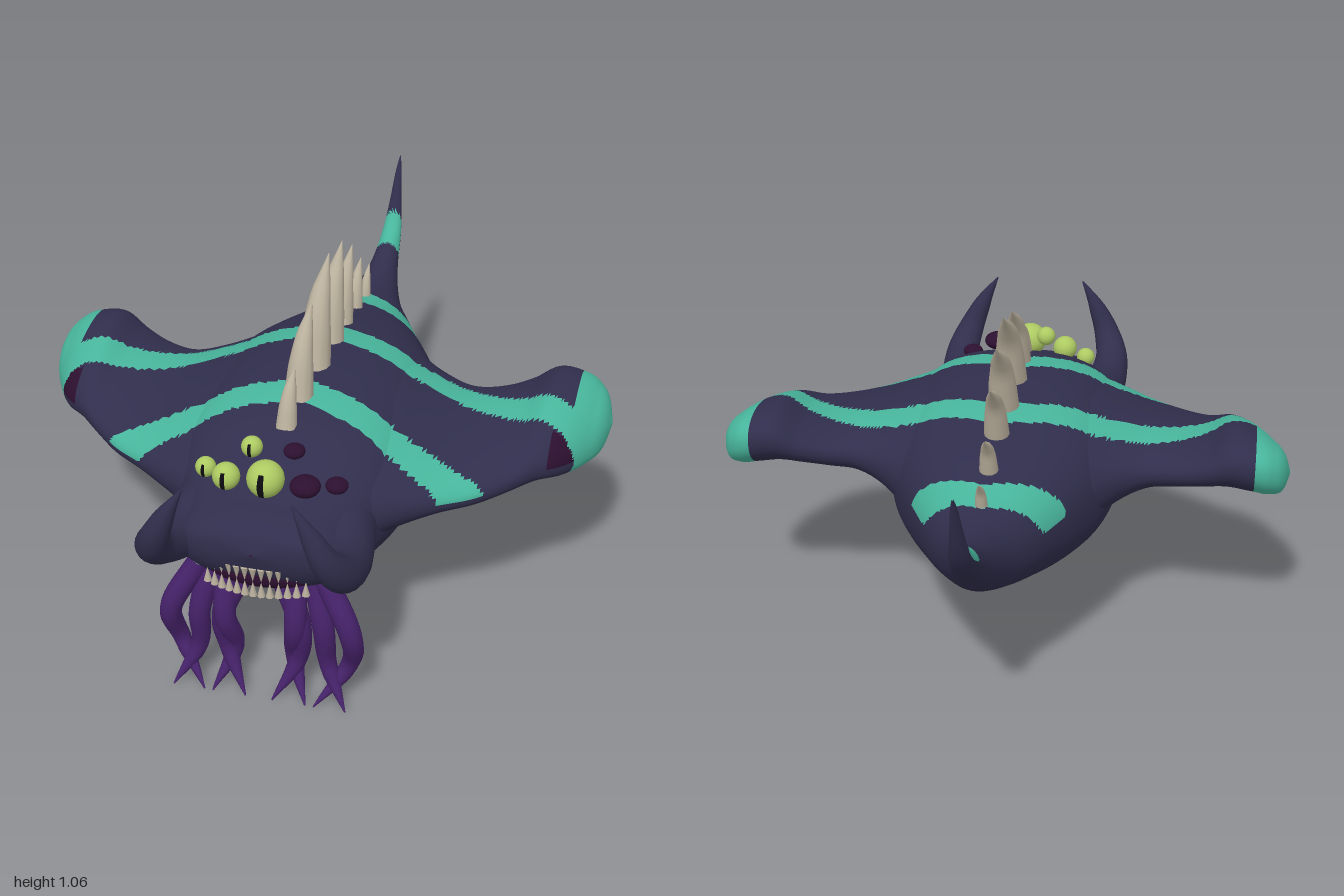
import * as THREE from 'three';

const mat = (name, color) => Object.assign(new THREE.MeshStandardMaterial({ color }), { name });

// Skin a list of rings (each an array of Vector3, anticlockwise about the travel direction).
// paint(centroid, normal) may return a material index for each triangle.
function skin(rings, paint = () => 0) {
  const n = rings[0].length, groups = [[], [], []];
  const pts = rings.flat();
  const ab = new THREE.Vector3(), ac = new THREE.Vector3();
  const tri = (a, b, c) => {
    const mid = new THREE.Vector3().add(pts[a]).add(pts[b]).add(pts[c]).divideScalar(3);
    ab.subVectors(pts[b], pts[a]);
    ac.subVectors(pts[c], pts[a]);
    groups[paint(mid, ab.cross(ac).normalize())].push(a, b, c);
  };
  for (let i = 0; i + 1 < rings.length; i++) {
    for (let j = 0; j < n; j++) {
      const a = i * n + j, b = i * n + (j + 1) % n;
      tri(a, b, a + n);
      tri(b, b + n, a + n);
    }
  }
  const g = new THREE.BufferGeometry().setFromPoints(pts);
  g.setIndex(groups.flat());
  let start = 0;
  groups.forEach((list, k) => {
    if (list.length) g.addGroup(start, list.length, k);
    start += list.length;
  });
  g.computeVertexNormals();
  return g;
}

// Smooth interpolation through rows of [position, ...values]
function stations(rows) {
  const size = rows[0].length - 1;
  const it = new THREE.CubicInterpolant(rows.map(r => r[0]), rows.flatMap(r => r.slice(1)), size, new Float32Array(size));
  return t => Array.from(it.evaluate(t));
}

// Curved, tapering limb through points with evenly spaced radii
function limb(points, radii, sides = 12, steps = 24) {
  const curve = new THREE.CatmullRomCurve3(points.map(p => new THREE.Vector3(...p)));
  const f = curve.computeFrenetFrames(steps);
  const rings = [];
  for (let i = 0; i <= steps; i++) {
    const s = i / steps * (radii.length - 1), k = Math.min(Math.floor(s), radii.length - 2);
    const r = THREE.MathUtils.lerp(radii[k], radii[k + 1], s - k);
    const c = curve.getPointAt(i / steps);
    rings.push(Array.from({ length: sides }, (_, j) => {
      const a = j / sides * Math.PI * 2;
      return c.clone().addScaledVector(f.normals[i], r * Math.cos(a)).addScaledVector(f.binormals[i], r * Math.sin(a));
    }));
  }
  return skin(rings);
}

const soft = (v, p) => Math.sign(v) * Math.abs(v) ** p;

// Stripes: 0 hide, 1 teal marking, 2 dark patch
function markings(p, n) {
  const x = Math.abs(p.x), up = n.y > 0.05;
  if (x > 0.775 && p.z < 0.2) return 1;
  if (x > 0.73 && p.z > 0.19 && up) return 2;
  if (!up) return 0;
  if (p.z < -0.81 && p.z > -0.91) return 1;
  if (p.y < 0.54) return 0;
  const near = (z0, slope) => Math.abs(p.z - z0 - slope * x) < 0.053;
  if (near(0.31, 0.27) && x < 0.58) return 1;
  if (near(-0.07, 0.27)) return 1;
  if (near(-0.46, 0.3) && p.y > 0.58 && x < 0.23) return 1;
  return 0;
}

export function createModel() {
  const model = new THREE.Group();
  model.name = 'seaCreature';
  const hide = mat('hide', 0x302e4c), teal = mat('tealMarking', 0x48b59c), bone = mat('bone', 0xb8ae9b);
  const purple = mat('tentaclePurple', 0x46226a), dark = mat('darkPurple', 0x2d1030);
  const green = mat('eyeGreen', 0xadca62), black = mat('pupilBlack', 0x0c0a10);
  const add = (name, geometry, material, parent = model) => {
    const m = new THREE.Mesh(geometry, material);
    m.name = name;
    parent.add(m);
    return m;
  };
  const group = name => {
    const g = new THREE.Group();
    g.name = name;
    model.add(g);
    return g;
  };
  const skinMats = [hide, teal, dark];

  // Body and tail: [z, half width, top, bottom]
  const body = stations([
    [-1, 0.002, 0.968, 0.958], [-0.975, 0.011, 0.935, 0.88], [-0.94, 0.02, 0.865, 0.775], [-0.9, 0.03, 0.785, 0.705],
    [-0.8, 0.043, 0.716, 0.612], [-0.72, 0.06, 0.686, 0.545], [-0.61, 0.1, 0.672, 0.46], [-0.5, 0.16, 0.68, 0.405],
    [-0.4, 0.21, 0.702, 0.367], [-0.29, 0.265, 0.73, 0.333], [-0.15, 0.325, 0.757, 0.31], [0, 0.355, 0.778, 0.293],
    [0.2, 0.36, 0.787, 0.28], [0.4, 0.35, 0.768, 0.296], [0.5, 0.325, 0.74, 0.31], [0.6, 0.285, 0.68, 0.333],
    [0.7, 0.255, 0.645, 0.365], [0.76, 0.235, 0.63, 0.405], [0.8, 0.2, 0.612, 0.45], [0.825, 0.12, 0.59, 0.5], [0.835, 0.004, 0.552, 0.545],
  ]);
  const bodyRings = [];
  for (let i = 0; i <= 170; i++) {
    const z = -1 + 1.835 * i / 170, [w, top, bottom] = body(z);
    const pow = THREE.MathUtils.lerp(1, 0.82, THREE.MathUtils.smoothstep(z, -0.7, 0));
    bodyRings.push(Array.from({ length: 80 }, (_, j) => {
      const a = j / 80 * Math.PI * 2;
      return new THREE.Vector3(Math.max(w, 0.002) * soft(Math.cos(a), pow),
        (top + bottom) / 2 + (top - bottom) / 2 * soft(Math.sin(a), pow), z);
    }));
  }
  add('body', skin(bodyRings, markings), skinMats);

  // Wings in one span: [|x|, back z, front z, top, bottom, rise of the back edge]
  const half = [
    [0.15, -0.4, 0.6, 0.745, 0.34, 0], [0.25, -0.265, 0.595, 0.735, 0.36, 0.005], [0.35, -0.155, 0.545, 0.7, 0.435, 0.015],
    [0.45, -0.1, 0.485, 0.67, 0.485, 0.02], [0.55, -0.115, 0.425, 0.665, 0.508, 0.025], [0.63, -0.14, 0.36, 0.685, 0.525, 0.03],
    [0.7, -0.16, 0.302, 0.725, 0.535, 0.035], [0.77, -0.16, 0.24, 0.72, 0.53, 0.035], [0.83, -0.14, 0.145, 0.695, 0.53, 0.03],
    [0.87, -0.085, 0.055, 0.655, 0.553, 0.015], [0.885, -0.025, -0.015, 0.61, 0.602, 0],
  ];
  const wing = stations([...half.map(([x, ...v]) => [-x, ...v]).reverse(), [0, -0.42, 0.6, 0.745, 0.335, 0], ...half]);
  const wingRings = [];
  for (let i = 0; i <= 220; i++) {
    const x = 0.885 * Math.sin((i / 110 - 1) * Math.PI / 2), [back, front, top, bottom, rise] = wing(x);
    wingRings.push(Array.from({ length: 90 }, (_, j) => {
      const a = j / 90 * Math.PI * 2, s = Math.sin(a);
      return new THREE.Vector3(x, (top + bottom) / 2 - rise * s + (top - bottom) / 2 * soft(Math.cos(a), 0.9) * (1 - 3 * rise * s),
        (front + back) / 2 + (front - back) / 2 * s);
    }));
  }
  add('wings', skin(wingRings, markings), skinMats);

  // Back spines: [base z, base y, tip z, tip y, radius]
  const spines = group('backSpines');
  for (const [z, y, tz, ty, r] of [
    [0.465, 0.74, 0.37, 0.89, 0.032], [0.335, 0.76, 0.18, 1.005, 0.045], [0.165, 0.77, -0.02, 1.065, 0.053],
    [-0.01, 0.76, -0.18, 1.03, 0.05], [-0.165, 0.74, -0.31, 0.955, 0.04], [-0.335, 0.7, -0.43, 0.85, 0.03], [-0.49, 0.665, -0.55, 0.77, 0.02],
  ]) {
    add('spine', limb([[0, y, z], [0, y + (ty - y) * 0.62, z + (tz - z) * 0.36], [0, ty, tz]],
      [r, r * 0.85, r * 0.55, 0.001], 12, 16), bone, spines);
  }

  // Head horns and mouth tentacles, mirrored left and right
  const horns = group('headHorns'), tentacles = group('tentacles');
  const arms = [
    [0.185, 0.268, 0.255, 0.165], [0.15, 0.185, 0.195, 0.26], [0.1, 0.105, 0.09, 0.14], [0.045, 0.115, 0.105, 0.04],
  ];
  for (const side of [1, -1]) {
    add('horn', limb([[0.2, 0.52, 0.6], [0.25, 0.52, 0.75], [0.265, 0.565, 0.87], [0.24, 0.64, 0.935], [0.2, 0.73, 0.95], [0.15, 0.82, 0.95]]
      .map(([x, y, z]) => [x * side, y, z]), [0.1, 0.08, 0.062, 0.048, 0.03, 0.002], 20, 32), hide, horns);
    arms.forEach(([a, b, c, d], k) => {
      const dz = k % 2 * 0.015;
      add('tentacle', limb([[a * side, 0.43, 0.73 - dz], [b * side, 0.27, 0.765 - dz], [c * side, 0.13, 0.72 + dz], [d * side, 0.01, 0.795]],
        [0.034, 0.034, 0.031, 0.024, 0.002]), purple, tentacles);
    });
  }

  // Mouth with two rows of teeth
  const mouth = add('mouth', new THREE.SphereGeometry(1, 32, 16), dark);
  mouth.scale.set(0.165, 0.052, 0.06);
  mouth.position.set(0, 0.452, 0.752);
  const teeth = group('teeth');
  for (let i = 0; i < 13; i++) {
    const x = -0.144 + i * 0.024, z = 0.822 - 0.035 * (x / 0.144) ** 2;
    for (const s of [1, -1]) {
      const tooth = add('tooth', new THREE.ConeGeometry(0.012, 0.046, 8), bone, teeth);
      tooth.position.set(x, 0.452 + s * 0.023, z);
      if (s > 0) tooth.rotation.x = Math.PI;
    }
  }

  // Eyes: bright ones with slit pupils, dark flattened ones on the other side
  const eyes = group('eyes');
  for (const [x, y, z, r] of [[0, 0.705, 0.68, 0.054], [-0.12, 0.685, 0.665, 0.04], [-0.062, 0.752, 0.6, 0.031], [-0.195, 0.675, 0.62, 0.03]]) {
    add('brightEye', new THREE.SphereGeometry(r, 24, 16), green, eyes).position.set(x, y, z);
    add('pupil', new THREE.SphereGeometry(r * 1.03, 6, 12, Math.PI / 2 - 0.17, 0.34, Math.PI * 0.27, Math.PI * 0.46), black, eyes).position.set(x, y, z);
  }
  for (const [x, y, z, r] of [[0.113, 0.695, 0.675, 0.044], [0.062, 0.757, 0.6, 0.031], [0.19, 0.675, 0.62, 0.033]]) {
    const eye = add('darkEye', new THREE.SphereGeometry(r, 24, 16), dark, eyes);
    eye.scale.y = 0.65;
    eye.position.set(x, y, z);
  }
  return model;
}
